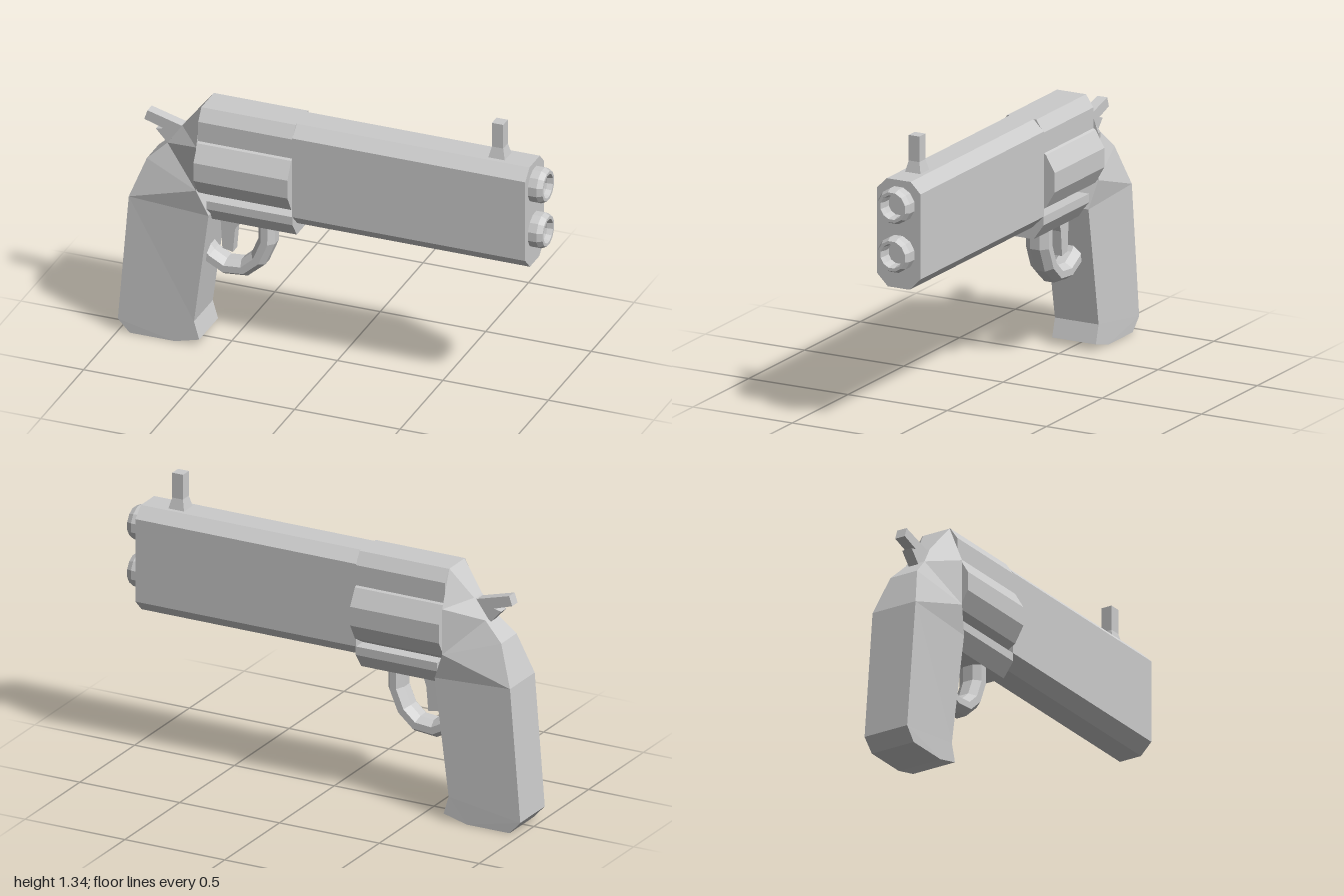
import * as THREE from 'three';

const mat = new THREE.MeshStandardMaterial({ color: 0xcccccc, flatShading: true, side: THREE.DoubleSide });

function part(name, geo) {
  const mesh = new THREE.Mesh(geo, mat);
  mesh.name = name;
  return mesh;
}

// Extrude a closed outline of [a, b] points, starting at depth 0
function extrude(points, depth) {
  const shape = new THREE.Shape(points.map(p => new THREE.Vector2(...p)));
  return new THREE.ExtrudeGeometry(shape, { depth, bevelEnabled: false });
}

// Symmetric section given by its [halfWidth, y] side, stretched from x0 to x1
function alongX(side, x0, x1) {
  const mirrored = side.map(([w, y]) => [-w, y]).reverse();
  return extrude([...side, ...mirrored], x1 - x0).rotateY(Math.PI / 2).translate(x0, 0, 0);
}

// Flat plate drawn in the x-y plane and centred on z = 0
function plate(points, width) {
  return extrude(points, width).translate(0, 0, -width / 2);
}

function lathe(profile, sides) {
  return new THREE.LatheGeometry(profile.map(p => new THREE.Vector2(...p)), sides, Math.PI / sides);
}

function indexed(positions, index) {
  const geo = new THREE.BufferGeometry();
  geo.setAttribute('position', new THREE.Float32BufferAttribute(positions, 3));
  geo.setIndex(index);
  geo.computeVertexNormals();
  return geo;
}

// Grip: outline of [x, y, halfWidth, zShift], with two faceted sides and a rim
function gripGeometry() {
  const outline = [
    [-0.615, 1.17, 0.07, 0], [-0.72, 1.04, 0.035, 0], [-0.785, 0.95, 0.05, 0],
    [-0.875, 0.865, 0.07, 0], [-0.945, 0.68, 0.113, -0.005], [-1, 0.06, 0.112, -0.012],
    [-0.945, 0, 0.11, -0.012], [-0.73, 0, 0.11, -0.012], [-0.615, 0.03, 0.11, -0.012],
    [-0.64, 0.115, 0.11, -0.012], [-0.565, 0.66, 0.113, 0], [-0.615, 0.785, 0.135, 0],
    [-0.615, 1.0, 0.135, 0],
  ];
  const side = [
    [0, 1, 12], [1, 2, 12], [2, 11, 12], [2, 3, 11], [3, 4, 11], [4, 10, 11],
    [4, 9, 10], [4, 5, 9], [5, 7, 9], [5, 6, 7], [7, 8, 9],
  ];
  const n = outline.length, pos = [], index = [];
  for (const s of [1, -1]) for (const [x, y, w, z] of outline) pos.push(x, y, z + s * w);
  for (const [a, b, c] of side) index.push(a, b, c, a + n, c + n, b + n);
  for (let i = 0; i < n; i++) {
    const j = (i + 1) % n;
    index.push(i, i + n, j + n, i, j + n, j);
  }
  return indexed(pos, index);
}

// Trigger guard: eight-sided section swept along a bent path
function guardGeometry() {
  const path = [[-0.325, 0.65], [-0.325, 0.54], [-0.365, 0.445], [-0.43, 0.388], [-0.52, 0.38], [-0.595, 0.42], [-0.63, 0.46]]
    .map(p => new THREE.Vector2(...p));
  const sides = 8, pos = [], index = [];
  path.forEach((p, i) => {
    const t = path[Math.min(i + 1, path.length - 1)].clone().sub(path[Math.max(i - 1, 0)]).normalize();
    for (let k = 0; k < sides; k++) {
      const a = (k + 0.5) / sides * Math.PI * 2;
      const r = 0.043 * Math.cos(a);
      pos.push(p.x - t.y * r, p.y + t.x * r, 0.063 * Math.sin(a));
      if (i === path.length - 1) continue;
      const u = i * sides + k, v = i * sides + (k + 1) % sides;
      index.push(u, v, v + sides, u, v + sides, u + sides);
    }
  });
  return indexed(pos, index);
}

export function createModel() {
  const model = new THREE.Group();
  model.name = 'revolver';

  // Barrel block with chamfered edges
  model.add(part('barrelBlock', alongX(
    [[0.055, 0.675], [0.11, 0.73], [0.11, 1.12], [0.06, 1.17]], -0.17, 0.935)));

  // Two stacked muzzle rings with hollow bores
  for (const [name, y] of [['upperMuzzle', 1.06], ['lowerMuzzle', 0.837]]) {
    const muzzle = part(name, lathe(
      [[0.082, 0.93], [0.082, 0.975], [0.07, 1], [0.056, 1], [0.05, 0.975], [0.05, 0.938], [0, 0.938]], 12)
      .rotateZ(-Math.PI / 2));
    muzzle.position.y = y;
    model.add(muzzle);
  }

  // Frame straps above and below the cylinder
  model.add(part('topStrap', alongX(
    [[0.11, 1.0], [0.11, 1.115], [0.073, 1.17]], -0.615, -0.168)));
  model.add(part('lowerFrame', alongX(
    [[0.06, 0.62], [0.11, 0.69], [0.11, 0.73]], -0.575, -0.168)));

  // Twelve-sided cylinder
  const cylinder = part('cylinder', new THREE.CylinderGeometry(0.171, 0.171, 0.445, 12, 1, false, Math.PI / 12)
    .rotateZ(Math.PI / 2));
  cylinder.position.set(-0.3925, 0.893, 0);
  model.add(cylinder);

  model.add(part('grip', gripGeometry()));

  // Hammer with its thumb spur
  model.add(part('hammer', plate(
    [[-0.89, 1.077], [-0.905, 1.032], [-0.815, 1.003], [-0.85, 0.995], [-0.79, 0.93], [-0.7, 0.95], [-0.7, 1.035], [-0.73, 1.033]], 0.05)));

  // Trigger and guard
  model.add(part('trigger', plate(
    [[-0.57, 0.63], [-0.535, 0.465], [-0.485, 0.455], [-0.475, 0.57], [-0.455, 0.63]]
      .map(([x, y], i) => i === 0 ? [-0.545, y] : [x, y]), 0.05)));
  model.add(part('triggerGuard', guardGeometry()));

  // Front sight: square post on a flared foot
  const sight = part('frontSight', lathe(
    [[0.057, 1.165], [0.038, 1.22], [0.038, 1.337], [0, 1.337]], 4));
  sight.position.x = 0.77;
  model.add(sight);

  return model;
}
